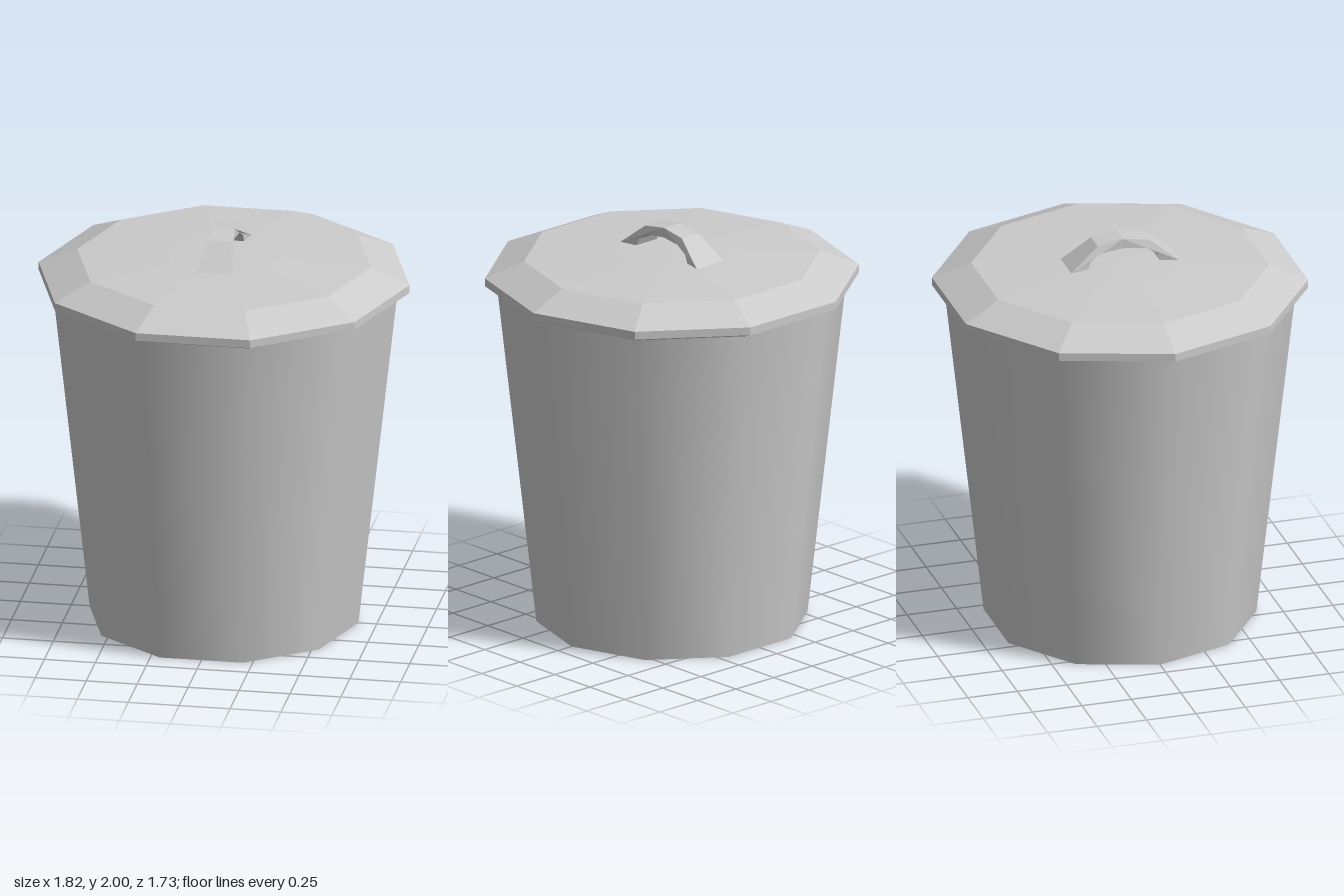
import * as THREE from 'three';

const SIDES = 10;

// Ten-sided turned part with a corner on the x axis; profile is [radius, y] from bottom to top
function turned(name, profile, material) {
  const points = profile.map(([r, y]) => new THREE.Vector2(r, y));
  const mesh = new THREE.Mesh(new THREE.LatheGeometry(points, SIDES, Math.PI / 2), material);
  mesh.name = name;
  return mesh;
}

// Arched handle running along z, flaring towards its feet
function createHandle(material) {
  const half = [[0.28, 1.862], [0.13, 1.98], [0, 2]];
  const inner = [[0, 1.95], [0.12, 1.937], [0.165, 1.905], [0.185, 1.862]];
  const flip = (list) => list.map(([z, y]) => [-z, y]).reverse();
  const outline = [...half, ...flip(half).slice(1), ...flip(inner), ...inner.slice(1).map((p) => p)];
  // Feet are joined to the inner arch by the closing edges
  const shape = new THREE.Shape(outline.map(([z, y]) => new THREE.Vector2(z, y)));
  const geometry = new THREE.ExtrudeGeometry(shape, { depth: 2, bevelEnabled: false });
  geometry.translate(0, 0, -1);
  geometry.rotateY(-Math.PI / 2);
  const pos = geometry.attributes.position;
  for (let i = 0; i < pos.count; i++) {
    const z = Math.abs(pos.getZ(i));
    const width = z < 0.13 ? 0.052 + z * 0.03 : 0.056 + ((z - 0.13) / 0.15) * 0.034;
    pos.setX(i, pos.getX(i) * width);
  }
  geometry.computeVertexNormals();
  const mesh = new THREE.Mesh(geometry, material);
  mesh.name = 'lidHandle';
  return mesh;
}

export function createModel() {
  const smooth = new THREE.MeshStandardMaterial({ color: 0xcccccc, side: THREE.DoubleSide });
  const flat = new THREE.MeshStandardMaterial({ color: 0xcccccc, flatShading: true, side: THREE.DoubleSide });
  const model = new THREE.Group();
  model.name = 'bin';

  // Tapered bin with a closed base and a folded rim
  model.add(turned('binBody', [[0.66, 0], [0.85, 1.705]], smooth));
  model.add(turned('binBase', [[0, 0], [0.66, 0]], flat));
  model.add(turned('binRim', [[0.849, 1.703], [0.862, 1.705], [0.874, 1.715], [0.874, 1.73]], flat));

  // Faceted lid with a short skirt, sloped shoulder and shallow crown
  const lid = new THREE.Group();
  lid.name = 'lid';
  lid.add(turned('lidShell', [
    [0.86, 1.73], [0.91, 1.725], [0.91, 1.765], [0.72, 1.845], [0.28, 1.868], [0, 1.87],
  ], flat));
  lid.add(createHandle(flat));
  model.add(lid);
  return model;
}
